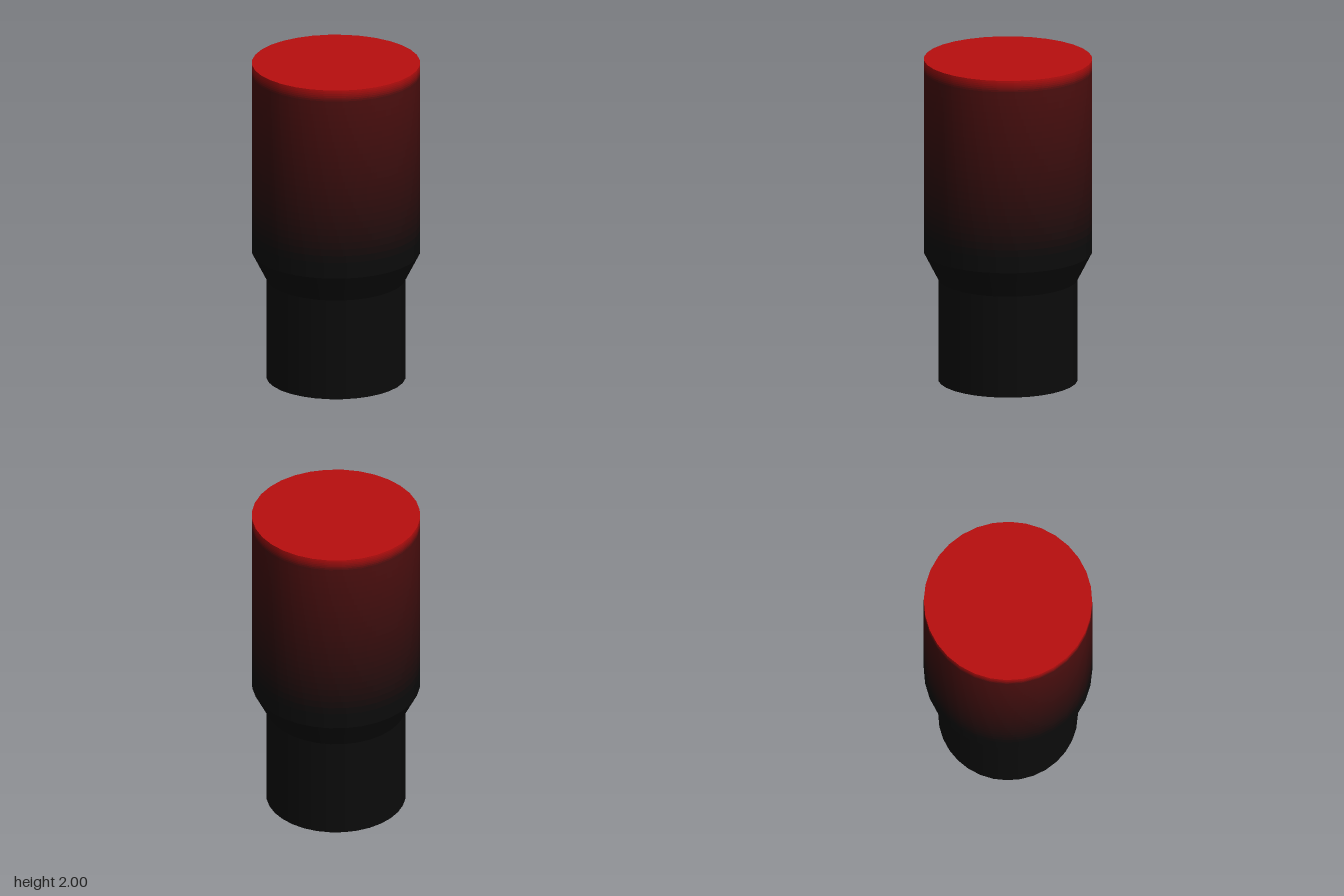
import * as THREE from 'three';

const SIDES = 32;
const R_TOP = 0.507, R_BASE = 0.42;
const Y_NECK = 0.63, Y_SHOULDER = 0.8, Y_FADE = 0.9, Y_RIM = 1.93, Y_TOP = 2;

const BLACK = new THREE.Color(0x0b0b0b);
const DARK_RED = new THREE.Color(0x4c0e0e);
const RED = new THREE.Color(0xb80e0e);

export function createModel() {
  const model = new THREE.Group();

  // open ring of wall between two heights
  function wall(parent, name, y0, y1, r0, r1, color) {
    const geometry = new THREE.CylinderGeometry(r1, r0, y1 - y0, SIDES, 1, true);
    const mesh = new THREE.Mesh(geometry, new THREE.MeshStandardMaterial({ color }));
    mesh.position.y = (y0 + y1) / 2;
    mesh.name = name;
    parent.add(mesh);
  }

  // flat end disc, facing up or down
  function cap(name, y, r, up, color) {
    const geometry = new THREE.CircleGeometry(r, SIDES).rotateX(up ? -Math.PI / 2 : Math.PI / 2);
    const mesh = new THREE.Mesh(geometry, new THREE.MeshStandardMaterial({ color }));
    mesh.position.y = y;
    mesh.name = name;
    model.add(mesh);
  }

  // stack of thin rings fading from one colour to another
  function fade(name, y0, y1, count, from, to) {
    const group = new THREE.Group();
    group.name = name;
    const h = (y1 - y0) / count;
    for (let i = 0; i < count; i++) {
      const color = from.clone().lerp(to, (i + 0.5) / count);
      wall(group, `${name}Band${i + 1}`, y0 + i * h, y0 + (i + 1) * h, R_TOP, R_TOP, color);
    }
    model.add(group);
  }

  // narrow base and sloped shoulder
  cap('bottomCap', 0, R_BASE, false, BLACK);
  wall(model, 'base', 0, Y_NECK, R_BASE, R_BASE, BLACK);
  wall(model, 'shoulder', Y_NECK, Y_SHOULDER, R_BASE, R_TOP, BLACK);

  // wide body, black below, fading to dark red, with a bright rim
  wall(model, 'lowerBody', Y_SHOULDER, Y_FADE, R_TOP, R_TOP, BLACK);
  fade('upperBody', Y_FADE, Y_RIM, 24, BLACK, DARK_RED);
  fade('rim', Y_RIM, Y_TOP, 6, DARK_RED, RED);
  cap('topCap', Y_TOP, R_TOP, true, RED);

  return model;
}
